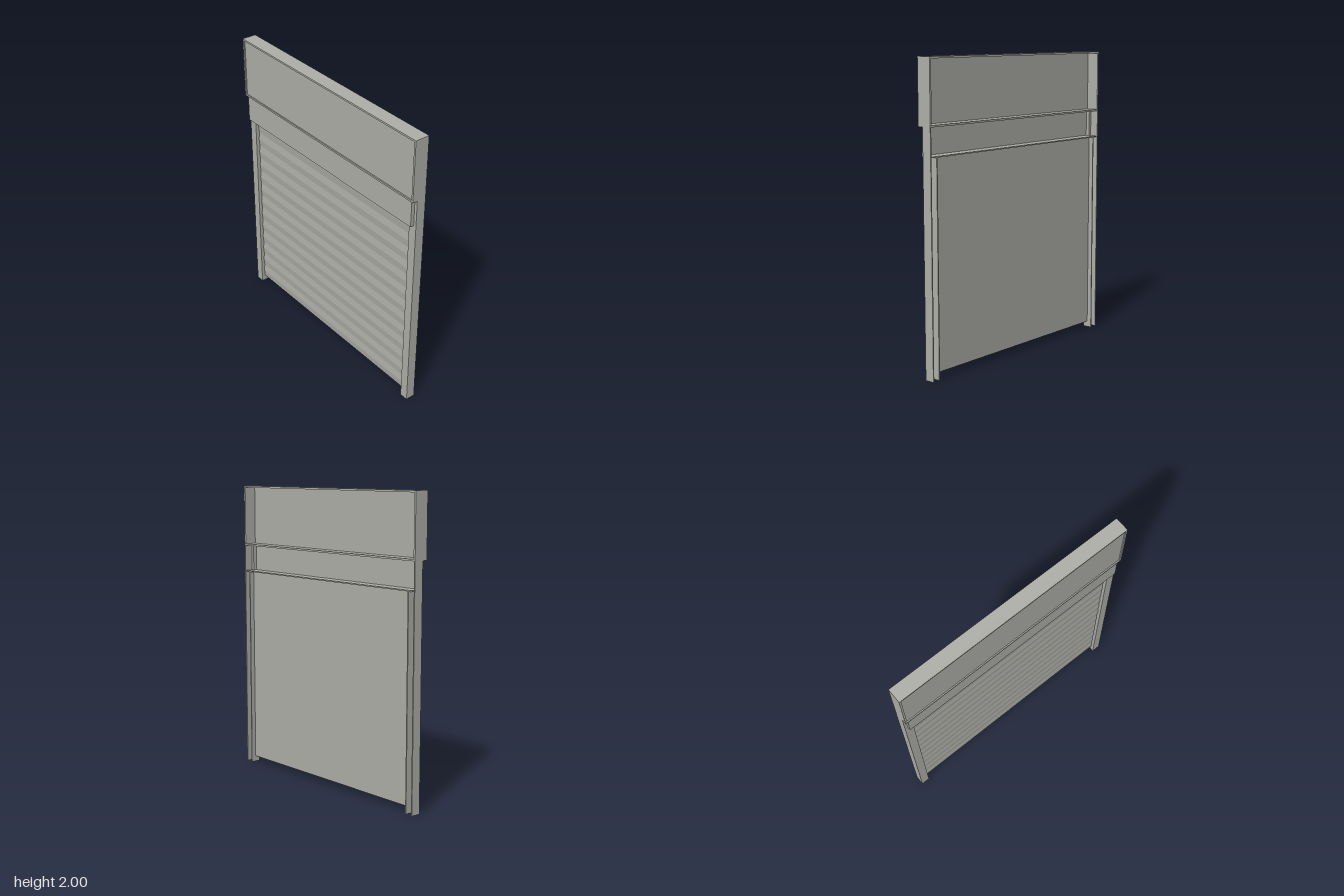
import * as THREE from 'three';

export function createModel() {
  const model = new THREE.Group();
  model.name = 'rollerShutter';
  const metal = new THREE.MeshStandardMaterial({ color: 0xb0b0aa });
  metal.name = 'warm grey metal';

  // Box given by its limits on each axis
  function plate(name, x0, x1, y0, y1, z0, z1, parent) {
    const mesh = new THREE.Mesh(new THREE.BoxGeometry(x1 - x0, y1 - y0, z1 - z0), metal);
    mesh.position.set((x0 + x1) / 2, (y0 + y1) / 2, (z0 + z1) / 2);
    mesh.name = name;
    parent.add(mesh);
  }

  function part(name) {
    const group = new THREE.Group();
    group.name = name;
    model.add(group);
    return group;
  }

  const back = -0.05;
  const headBottom = 1.58, fasciaBottom = 1.395;

  // Head box, open at the back, with a recessed front panel
  const head = part('headBox');
  plate('headTop', -0.855, 0.855, 1.988, 2, back, 0.05, head);
  plate('headShelf', -0.855, 0.855, headBottom, 1.592, back, 0.05, head);
  plate('headPanel', -0.842, 0.842, 1.592, 1.988, 0.034, 0.042, head);

  // Lower fascia with its shelf
  const fascia = part('lowerFascia');
  plate('fasciaPanel', -0.835, 0.835, fasciaBottom, headBottom, 0.032, 0.04, fascia);
  plate('fasciaShelf', -0.835, 0.835, fasciaBottom, fasciaBottom + 0.008, back, 0.032, fascia);

  // Mirrored ends and channel rails, open at the back
  for (const side of [-1, 1]) {
    const both = (name, a, b, y0, y1, z0, z1, parent) =>
      plate(name, Math.min(side * a, side * b), Math.max(side * a, side * b), y0, y1, z0, z1, parent);
    both('headEnd', 0.842, 0.855, 1.592, 1.988, back, 0.05, head);
    both('fasciaEnd', 0.827, 0.835, fasciaBottom + 0.008, headBottom, 0.015, 0.032, fascia);
    const rail = part(side > 0 ? 'leftRail' : 'rightRail');
    both('railOuterWall', 0.847, 0.855, 0, headBottom, back, 0.015, rail);
    both('railFront', 0.803, 0.847, 0, fasciaBottom, 0.007, 0.015, rail);
    both('railUpperFront', 0.827, 0.847, fasciaBottom, headBottom, 0.007, 0.015, rail);
    both('railInnerWall', 0.795, 0.803, 0, fasciaBottom, back, 0.015, rail);
  }

  // Curtain: shallow ridged slats in front, flat behind
  const bottom = 0.04, slats = 13, width = 1.59;
  const pitch = (fasciaBottom - bottom) / slats;
  const profile = new THREE.Shape();
  profile.moveTo(0.018, bottom);
  profile.lineTo(0.018, fasciaBottom);
  for (let i = 0; i <= slats * 2; i++) {
    profile.lineTo(i % 2 ? 0.007 : 0.012, fasciaBottom - i * pitch / 2);
  }
  const slatGeometry = new THREE.ExtrudeGeometry(profile, { depth: width, bevelEnabled: false });
  slatGeometry.translate(0, 0, -width / 2);
  slatGeometry.rotateY(Math.PI / 2);
  const curtain = new THREE.Mesh(slatGeometry, metal);
  curtain.name = 'slattedCurtain';
  model.add(curtain);

  return model;
}
